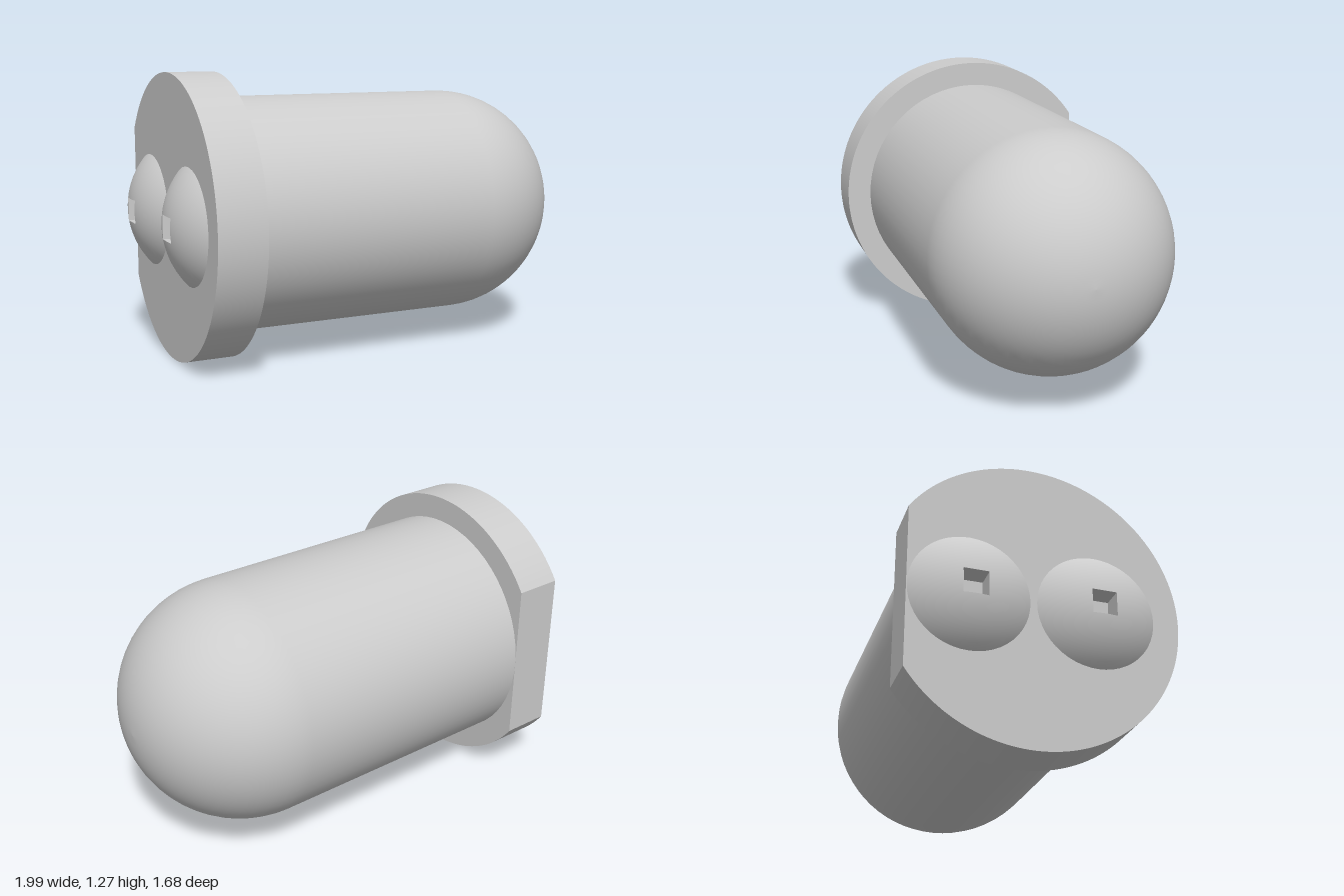
import * as THREE from 'three';
import { toCreasedNormals } from 'three/addons/utils/BufferGeometryUtils.js';

const BODY_R = 0.527, FLANGE_R = 0.637;
const BASE = -0.795, FLANGE_T = 0.215, DOME_START = 0.559;
const CAP_R = 0.255, CAP_H = 0.1, SLOT = 0.105;

// Shallow spherical cap, facing +z, with a square opening at its centre
function capGeometry() {
  const R = (CAP_R * CAP_R + CAP_H * CAP_H) / (2 * CAP_H);
  const geo = new THREE.RingGeometry(0, 1, 48, 8);
  const pos = geo.attributes.position, nor = geo.attributes.normal;
  for (let i = 0; i < pos.count; i++) {
    const x = pos.getX(i), y = pos.getY(i);
    const t = Math.min(1, Math.hypot(x, y));
    const a = (Math.floor(i % 49) / 48) * Math.PI * 2;
    const c = Math.cos(a), s = Math.sin(a);
    const inner = SLOT / 2 / Math.max(Math.abs(c), Math.abs(s));
    const r = inner + (CAP_R - inner) * t;
    const h = Math.sqrt(R * R - r * r);
    pos.setXYZ(i, r * c, r * s, h - (R - CAP_H));
    nor.setXYZ(i, r * c / R, r * s / R, h / R);
  }
  return geo;
}

// Box turned inside out, forming the walls and floor of a lead socket
function socketGeometry() {
  const depth = 0.092;
  const geo = new THREE.BoxGeometry(SLOT, SLOT, depth);
  geo.scale(-1, 1, 1);
  geo.computeVertexNormals();
  geo.translate(0, 0, 0.004 + depth / 2);
  return geo;
}

export function createModel() {
  const grey = new THREE.MeshStandardMaterial({ color: 0xcccccc });
  grey.name = 'plain grey';
  const model = new THREE.Group();
  model.name = 'indicatorLamp';

  const add = (name, geo, x = 0, z = 0) => {
    const mesh = new THREE.Mesh(geo, grey);
    mesh.name = name;
    mesh.position.set(x, 0, z);
    lamp.add(mesh);
  };

  // Lamp lies on its side along local x, turned away from the front
  const lamp = new THREE.Group();
  lamp.name = 'lamp';
  lamp.rotation.y = THREE.MathUtils.degToRad(25);
  lamp.position.set(-0.038, FLANGE_R, -0.082);
  model.add(lamp);

  // Cylindrical body running into a hemispherical dome
  const profile = [new THREE.Vector2(BODY_R, BASE + FLANGE_T)];
  for (let i = 0; i <= 16; i++) {
    const a = (i / 16) * Math.PI / 2;
    profile.push(new THREE.Vector2(i === 16 ? 0 : BODY_R * Math.cos(a), DOME_START + BODY_R * Math.sin(a)));
  }
  add('domedBody', new THREE.LatheGeometry(profile, 64).rotateZ(-Math.PI / 2));

  // Flange disc with one flat side flush with the body
  const cut = Math.acos(BODY_R / FLANGE_R);
  const disc = new THREE.Shape().absarc(0, 0, FLANGE_R, cut, Math.PI * 2 - cut, false);
  disc.closePath();
  const flange = new THREE.ExtrudeGeometry(disc, { depth: FLANGE_T, bevelEnabled: false, curveSegments: 72 });
  flange.rotateY(Math.PI / 2);
  add('flange', toCreasedNormals(flange, 0.4), BASE);

  // Two lead bosses with square sockets on the underside of the flange
  for (const z of [-0.269, 0.269]) {
    add('leadBoss', capGeometry().rotateY(-Math.PI / 2), BASE, z);
    add('leadSocket', socketGeometry().rotateY(-Math.PI / 2), BASE, z);
  }
  return model;
}
